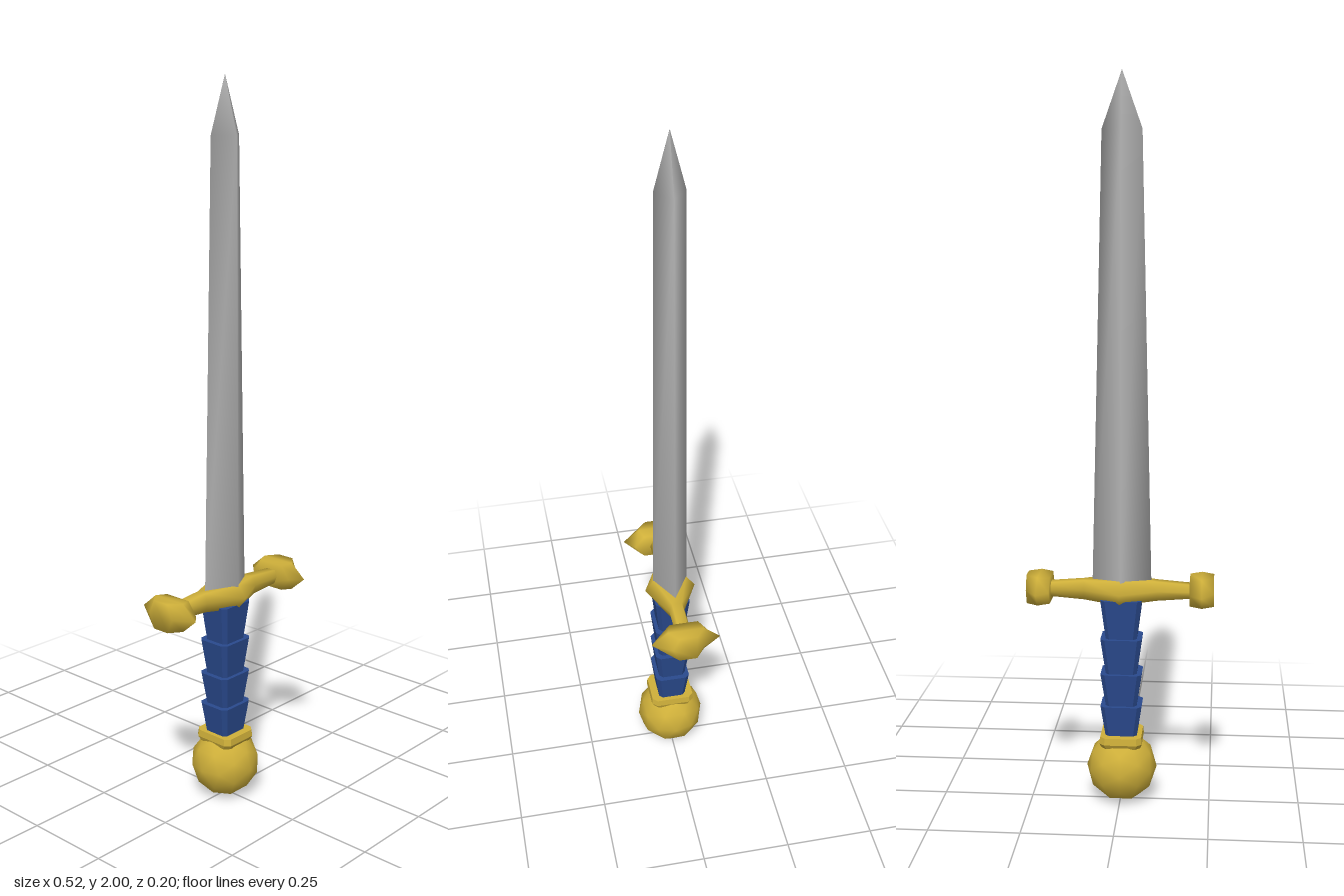
import * as THREE from 'three';

const material = (name, color) => {
  const m = new THREE.MeshStandardMaterial({ color });
  m.name = name;
  return m;
};

// Skins a stack of [y, points] rings, points being [x, z] pairs, and closes both ends.
function loft(rings, flat = false) {
  const n = rings[0][1].length;
  const pos = rings.flatMap(([y, pts]) => pts.flatMap(([x, z]) => [x, y, z]));
  const index = [];
  const last = (rings.length - 1) * n;
  for (let r = 0; r < last; r += n) {
    for (let j = 0; j < n; j++) {
      const k = (j + 1) % n;
      index.push(r + j, r + n + j, r + k, r + k, r + n + j, r + n + k);
    }
  }
  for (let j = 1; j < n - 1; j++) {
    index.push(0, j, j + 1, last, last + j + 1, last + j);
  }
  let geo = new THREE.BufferGeometry();
  geo.setAttribute('position', new THREE.Float32BufferAttribute(pos, 3));
  geo.setIndex(index);
  if (flat) geo = geo.toNonIndexed();
  geo.computeVertexNormals();
  return geo;
}

// Cross-sections
const diamond = (a, b) => [[a, 0], [0, b], [-a, 0], [0, -b]];
const hexagon = (h, w, f) => [[h, -w * f], [h, w * f], [0, w], [-h, w * f], [-h, -w * f], [0, -w]];
const cutBox = (a, b, c) => [
  [a, -b + c], [a, b - c], [a - c, b], [-a + c, b],
  [-a, b - c], [-a, -b + c], [-a + c, -b], [a - c, -b],
];

export function createModel() {
  const sword = new THREE.Group();
  sword.name = 'sword';
  const steel = material('steel', 0xb4b4b4);
  const gold = material('gold', 0xcfb03a);
  const blue = material('blue wrap', 0x2a4a8e);

  const add = (name, geo, mat, x = 0, y = 0) => {
    const mesh = new THREE.Mesh(geo, mat);
    mesh.name = name;
    mesh.position.set(x, y, 0);
    sword.add(mesh);
    return mesh;
  };
  const offset = -0.004;

  // Tapered diamond blade with a pointed tip
  add('blade', loft([
    [0.6, diamond(0.082, 0.05)],
    [1.85, diamond(0.054, 0.04)],
    [2.0, diamond(0.0005, 0.0005)],
  ]), steel, offset);

  // Crossguard bar, swelling around the blade
  const bar = [[-0.21, 0.018, 0.022], [-0.1, 0.027, 0.022], [0, 0.034, 0.073],
    [0.1, 0.027, 0.022], [0.21, 0.018, 0.022]];
  add('crossguard', loft(bar.map(([x, h, w]) => [x, hexagon(h, w, 0.65)]))
    .rotateZ(-Math.PI / 2), gold, 0, 0.608);

  // Bulging hexagonal ends of the crossguard
  for (const side of [-1, 1]) {
    const end = loft([
      [0.192, hexagon(0.036, 0.067, 0.6)],
      [0.225, hexagon(0.039, 0.097, 0.53)],
      [0.258, hexagon(0.04, 0.042, 0.6)],
    ]).rotateZ(-side * Math.PI / 2);
    add(side > 0 ? 'leftGuardEnd' : 'rightGuardEnd', end, gold, 0, 0.61);
  }

  // Grip of four overlapping wraps, each wider at its top
  const steps = [0.19, 0.283, 0.375, 0.475, 0.585];
  for (let i = 0; i < 4; i++) {
    add('gripWrap' + (i + 1), loft([
      [steps[i], cutBox(0.043, 0.039, 0.01)],
      [steps[i + 1], cutBox(0.057, 0.05, 0.012)],
    ], true), blue, offset);
  }

  // Collar between grip and pommel
  add('collar', loft([
    [0.165, cutBox(0.054, 0.057, 0.014)],
    [0.178, cutBox(0.059, 0.064, 0.014)],
    [0.197, cutBox(0.057, 0.062, 0.014)],
  ], true), gold, offset);

  // Round pommel
  add('pommel', new THREE.IcosahedronGeometry(0.098, 1), gold, offset, 0.098);

  return sword;
}
